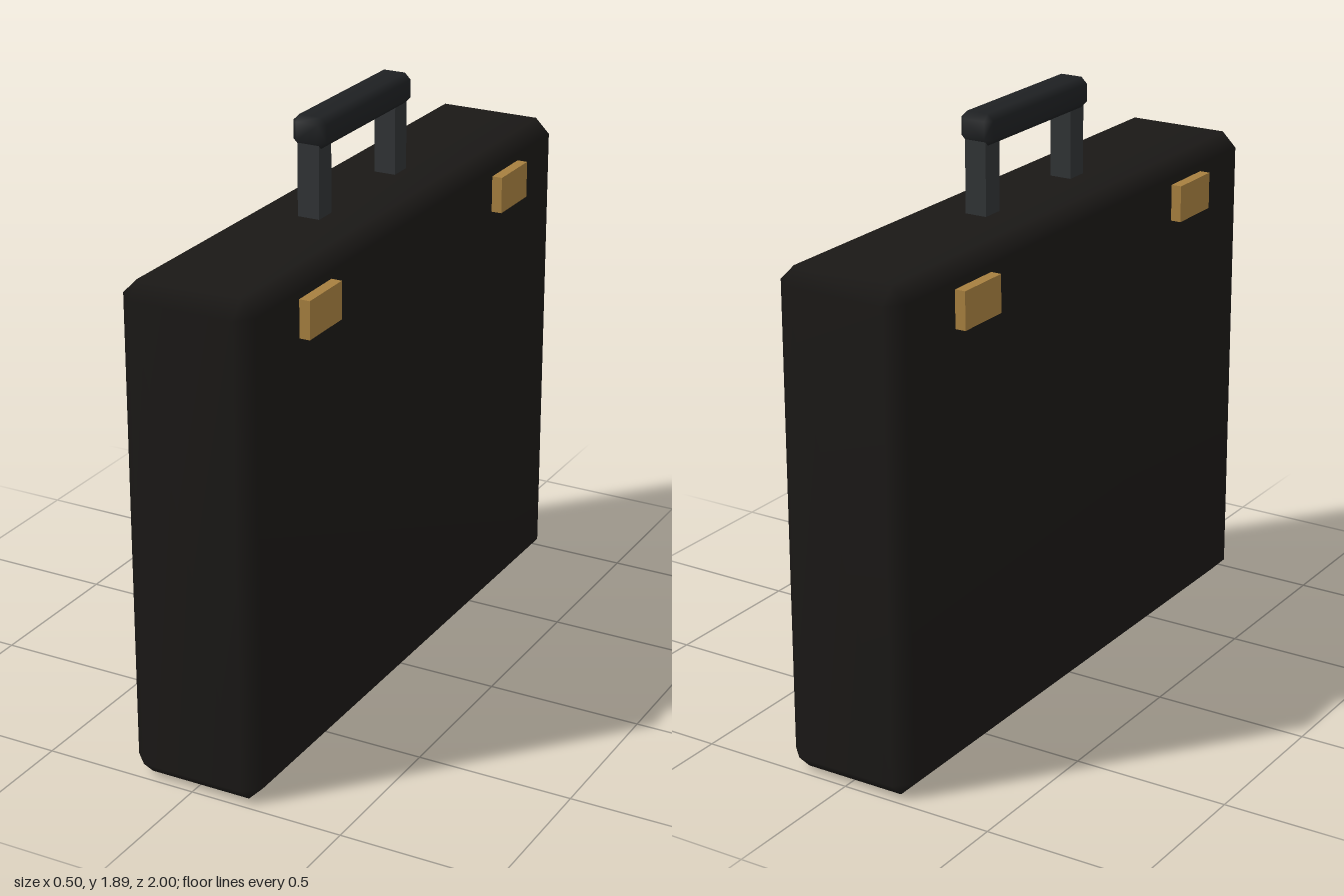
import * as THREE from 'three';
import { ConvexGeometry } from 'three/addons/geometries/ConvexGeometry.js';
import { mergeVertices } from 'three/addons/utils/BufferGeometryUtils.js';

// Box with every edge cut at 45 degrees by c, shaded softly across the cuts
function chamferedBox(w, h, d, c) {
  const half = [w / 2, h / 2, d / 2];
  const points = [];
  for (let axis = 0; axis < 3; axis++) {
    for (const sx of [-1, 1]) for (const sy of [-1, 1]) for (const sz of [-1, 1]) {
      const p = [sx, sy, sz].map((s, i) => s * (half[i] - (i === axis ? 0 : c)));
      points.push(new THREE.Vector3(...p));
    }
  }
  const hull = new ConvexGeometry(points);
  hull.deleteAttribute('normal');
  const geometry = mergeVertices(hull, 1e-4);
  geometry.computeVertexNormals();
  return geometry;
}

export function createModel() {
  const group = new THREE.Group();
  group.name = 'briefcase';

  const leather = new THREE.MeshStandardMaterial({ color: 0x1a1816 });
  const gripMaterial = new THREE.MeshStandardMaterial({ color: 0x1e2022 });
  const postMaterial = new THREE.MeshStandardMaterial({ color: 0x303335 });
  const brass = new THREE.MeshStandardMaterial({ color: 0xa67f3f });

  const add = (name, geometry, material, x, y, z) => {
    const mesh = new THREE.Mesh(geometry, material);
    mesh.name = name;
    mesh.position.set(x, y, z);
    group.add(mesh);
  };

  // Case body
  add('caseBody', chamferedBox(0.43, 1.575, 2, 0.048), leather, 0, 0.7875, 0);

  // Handle grip
  add('handleGrip', chamferedBox(0.112, 0.096, 0.57, 0.02), gripMaterial, 0, 1.838, 0);

  // Handle posts and latches, mirrored front to back and side to side
  const postGeometry = new THREE.BoxGeometry(0.072, 0.27, 0.075);
  const latchGeometry = new THREE.BoxGeometry(0.05, 0.118, 0.187);
  for (const end of [1, -1]) {
    const endName = end > 0 ? 'Front' : 'Back';
    add('handlePost' + endName, postGeometry, postMaterial, 0, 1.675, end * 0.24);
    for (const side of [1, -1]) {
      const sideName = side > 0 ? 'Left' : 'Right';
      add('latch' + endName + sideName, latchGeometry, brass, side * 0.224, 1.445, end * 0.62);
    }
  }
  return group;
}
